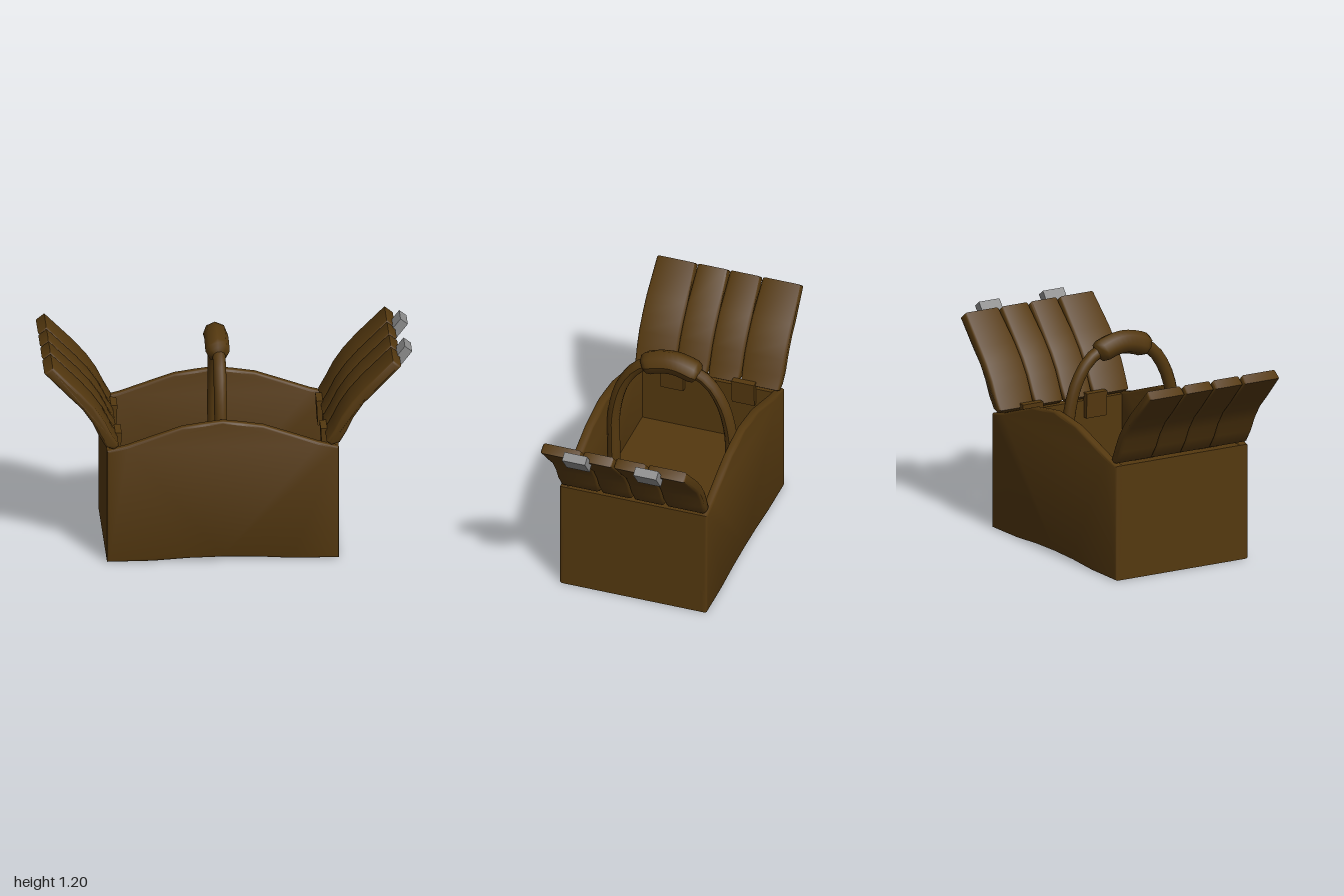
import * as THREE from 'three';
import { toCreasedNormals } from 'three/addons/utils/BufferGeometryUtils.js';

const CX = -0.03; // middle of the basket along x

const wood = new THREE.MeshStandardMaterial({ color: 0x54380f });
wood.name = 'brown wood';
const metal = new THREE.MeshStandardMaterial({ color: 0x8c8c8c });
metal.name = 'grey metal';

function part(name, geometry, material, parent) {
  const mesh = new THREE.Mesh(geometry, material);
  mesh.name = name;
  parent.add(mesh);
  return mesh;
}

// Outline (x, y) extruded between two z values, with its outer size kept
function slab(points, z0, z1, bevel) {
  const shape = new THREE.Shape(points.map(([x, y]) => new THREE.Vector2(x, y)));
  const geo = new THREE.ExtrudeGeometry(shape, {
    depth: z1 - z0 - 2 * bevel,
    bevelEnabled: bevel > 0,
    bevelSize: bevel,
    bevelThickness: bevel,
    bevelOffset: -bevel,
    bevelSegments: 2,
  });
  return geo.translate(0, 0, z0 + bevel);
}

// Tube whose end rings are narrowed to round and close it
function roundedTube(points, segments, radius, sides) {
  const curve = new THREE.CatmullRomCurve3(points.map((p) => new THREE.Vector3(...p)));
  const geo = new THREE.TubeGeometry(curve, segments, radius, sides);
  const pos = geo.attributes.position;
  const v = new THREE.Vector3();
  for (let i = 0; i < pos.count; i++) {
    const ring = Math.floor(i / (sides + 1));
    const end = Math.min(ring, segments - ring);
    const k = end === 0 ? 0 : end === 1 ? 0.85 : 1;
    const centre = curve.getPointAt(ring / segments);
    v.fromBufferAttribute(pos, i).sub(centre).multiplyScalar(k).add(centre);
    pos.setXYZ(i, v.x, v.y, v.z);
  }
  geo.computeVertexNormals();
  return geo;
}

function createBody() {
  const body = new THREE.Group();
  body.name = 'body';
  const arch = [[0.6, 0.003], [0.35, 0.004], [0.16, 0.016], [-0.03, 0.02], [-0.22, 0.016], [-0.41, 0.004], [-0.66, 0.003]]
    .map(([x, y]) => [x, y - 0.003]);

  // End walls and raised floor
  const core = [...arch, [-0.66, 0.645], [-0.605, 0.645], [-0.605, 0.3], [0.545, 0.3], [0.545, 0.645], [0.6, 0.645]];
  part('endWallsAndFloor', slab(core, -0.41, 0.41, 0), wood, body);

  // Front and back panels with a curved top
  const panel = [...arch, [-0.66, 0.645], [-0.55, 0.672], [-0.4, 0.724], [-0.25, 0.775], [-0.13, 0.793], [-0.03, 0.805],
    [0.07, 0.793], [0.19, 0.775], [0.34, 0.724], [0.49, 0.672], [0.6, 0.645]];
  for (const [name, z0] of [['frontPanel', 0.375], ['backPanel', -0.425]]) {
    part(name, toCreasedNormals(slab(panel, z0, z0 + 0.05, 0.012), 0.9), wood, body);
  }
  return body;
}

// One lid of four curved slats; side is -1 or 1 along x
function createLid(name, side) {
  const lid = new THREE.Group();
  lid.name = name;
  const profile = [[0.59, 0.65], [0.635, 0.665], [0.675, 0.735], [0.71, 0.81], [0.765, 0.89], [0.83, 0.955], [0.97, 1.1],
    [0.925, 1.137], [0.77, 0.98], [0.7, 0.9], [0.645, 0.82], [0.605, 0.74], [0.565, 0.67]]
    .map(([d, y]) => [CX + side * d, y]);

  const edges = [-0.422, -0.186, 0, 0.186, 0.422];
  for (let i = 0; i < 4; i++) {
    const z0 = edges[i], z1 = edges[i + 1], mid = (z0 + z1) / 2;
    const geo = slab(profile, z0, z1, 0.014);
    // Slats narrow a little towards both ends
    const pos = geo.attributes.position;
    for (let j = 0; j < pos.count; j++) {
      const t = Math.abs((pos.getY(j) - 0.893) / 0.243);
      const k = 1 - 0.07 * Math.max(0, t - 0.6) / 0.4;
      pos.setZ(j, mid + (pos.getZ(j) - mid) * k);
    }
    part('slat', toCreasedNormals(geo, 0.9), wood, lid);
  }

  // Hinge tabs on the inside of the end wall
  for (const z of [-0.215, 0.195]) {
    const tab = part('hingeTab', new THREE.BoxGeometry(0.035, 0.14, 0.13), wood, lid);
    tab.position.set(CX + side * 0.562, 0.62, z);
    tab.rotation.z = side * 0.05;
  }
  return lid;
}

export function createModel() {
  const basket = new THREE.Group();
  basket.name = 'basket';
  basket.add(createBody(), createLid('rightLid', -1), createLid('leftLid', 1));

  // Clasps on the tip of one lid
  for (const z of [-0.21, 0.2]) {
    const clasp = part('clasp', new THREE.BoxGeometry(0.05, 0.122, 0.132), metal, basket);
    clasp.position.set(0.95, 1.098, z);
    clasp.rotation.z = -0.66;
  }

  // Carrying handle with a thicker grip
  const x = -0.037;
  const arc = [[x, 0.28, 0.335], [x, 0.5, 0.337], [x, 0.74, 0.335], [x, 0.95, 0.28], [x, 1.08, 0.18], [x, 1.135, 0],
    [x, 1.08, -0.18], [x, 0.95, -0.28], [x, 0.74, -0.335], [x, 0.5, -0.337], [x, 0.28, -0.335]];
  part('handle', roundedTube(arc, 32, 0.035, 10), wood, basket);
  const gx = -0.043;
  const gripPath = [[gx, 1.082, 0.18], [gx, 1.118, 0.1], [gx, 1.136, 0], [gx, 1.118, -0.09], [gx, 1.085, -0.165]];
  part('grip', roundedTube(gripPath, 14, 0.066, 8), wood, basket);

  return basket;
}
